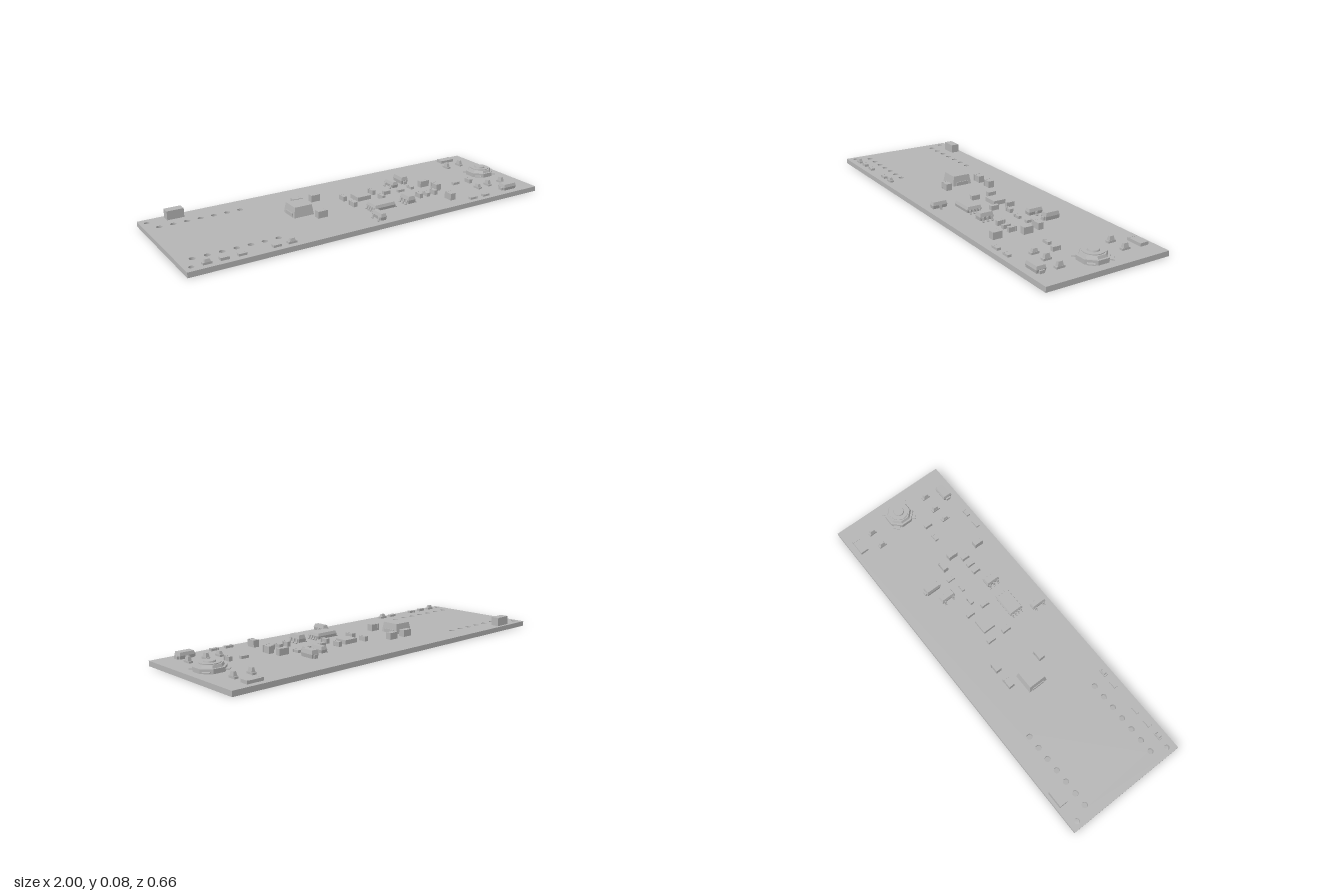
import * as THREE from 'three';

const TOP = 0.026; // upper surface of the board

export function createModel() {
  const grey = new THREE.MeshStandardMaterial({ color: 0xb4b4b4 });
  grey.name = 'plain grey';
  const model = new THREE.Group();
  model.name = 'circuitBoard';

  const add = (parent, name, geo, x = 0, y = 0, z = 0) => {
    const m = new THREE.Mesh(geo, grey);
    m.name = name;
    m.position.set(x, y, z);
    parent.add(m);
    return m;
  };
  const group = (name, x, z, turn = 0) => {
    const g = new THREE.Group();
    g.name = name;
    g.position.set(x, TOP, z);
    g.rotation.y = turn;
    model.add(g);
    return g;
  };
  const box = (parent, name, w, h, d, x = 0, y = 0, z = 0) =>
    add(parent, name, new THREE.BoxGeometry(w, h, d), x, y + h / 2, z);

  // Box whose top (and optionally bottom) is drawn in by an inset
  const tapered = (w, h, d, topInset, bottomInset = 0) => {
    const geo = new THREE.BoxGeometry(w, h, d, 1, 2, 1);
    const p = geo.attributes.position;
    for (let i = 0; i < p.count; i++) {
      const y = p.getY(i);
      const inset = y > 0.0001 ? topInset : y < -0.0001 ? bottomInset : bottomInset ? 0 : topInset / 2;
      p.setX(i, p.getX(i) - Math.sign(p.getX(i)) * inset);
      p.setZ(i, p.getZ(i) - Math.sign(p.getZ(i)) * inset);
    }
    const flat = geo.toNonIndexed();
    flat.computeVertexNormals();
    return flat;
  };

  // Bent lead: shoulder at the body, slope, foot on the board; points toward +x
  const lead = (parent, x, z, dir, h, reach, width) => {
    const t = 0.005;
    const s = new THREE.Shape([
      [0, h], [reach * 0.4, h], [reach * 0.65, t], [reach, t],
      [reach, 0], [reach * 0.5, 0], [reach * 0.25, h - t], [0, h - t],
    ].map(([a, b]) => new THREE.Vector2(a, b)));
    const geo = new THREE.ExtrudeGeometry(s, { depth: width, bevelEnabled: false });
    geo.translate(0, 0, -width / 2);
    add(parent, 'lead', geo, x, 0, z).rotation.y = dir > 0 ? 0 : Math.PI;
  };

  // Board with two pin rows and two corner holes
  const outline = new THREE.Shape([[-1, -0.33], [1, -0.33], [1, 0.33], [-1, 0.33]]
    .map(([x, y]) => new THREE.Vector2(x, y)));
  const drill = (x, z, r) => {
    const hole = new THREE.Path();
    hole.absarc(x, -z, r, 0, Math.PI * 2, true);
    outline.holes.push(hole);
  };
  for (let i = 0; i < 7; i++) for (const z of [-0.21, 0.21]) drill(-0.93 + i * 0.07, z, 0.015);
  for (const z of [-0.287, 0.287]) drill(-0.965, z, 0.013);
  const board = new THREE.ExtrudeGeometry(outline, { depth: TOP, bevelEnabled: false, curveSegments: 10 });
  board.rotateX(-Math.PI / 2);
  add(model, 'board', board);

  // Chip resistors and capacitors: x, z, width, depth, height
  const chips = [
    [-0.815, 0.29, 0.042, 0.022, 0.014], [-0.73, 0.29, 0.042, 0.022, 0.012],
    [-0.56, 0.29, 0.042, 0.022, 0.012],
    [-0.232, -0.123, 0.055, 0.033, 0.036], [-0.13, -0.123, 0.05, 0.033, 0.036],
    [-0.21, 0.09, 0.055, 0.033, 0.036],
    [0.003, -0.052, 0.022, 0.045, 0.025], [0.003, 0.045, 0.024, 0.048, 0.025],
    [0.18, -0.05, 0.02, 0.045, 0.025], [0.18, 0.043, 0.02, 0.045, 0.025],
    [0.243, -0.005, 0.04, 0.02, 0.02], [0.33, 0.005, 0.04, 0.018, 0.014],
    [0.405, -0.01, 0.02, 0.042, 0.014], [0.485, 0, 0.055, 0.028, 0.034],
    [0.51, 0.077, 0.03, 0.052, 0.036], [0.485, 0.23, 0.032, 0.05, 0.036],
    [0.362, 0.125, 0.02, 0.042, 0.025], [0.41, 0.125, 0.02, 0.042, 0.02],
    [0.458, 0.125, 0.02, 0.042, 0.025],
    [0.655, 0.07, 0.042, 0.02, 0.014], [0.735, 0.083, 0.02, 0.042, 0.022],
    [0.587, 0.294, 0.044, 0.02, 0.012], [0.672, 0.294, 0.042, 0.02, 0.012],
  ];
  for (const [x, z, w, d, h] of chips) {
    const long = Math.max(w, d), short = Math.min(w, d);
    const g = group('chipComponent', x, z, d > w ? Math.PI / 2 : 0);
    box(g, 'chipBody', long * 0.6, h - 0.001, short - 0.002);
    for (const s of [-1, 1]) box(g, 'endCap', long * 0.2, h, short, s * long * 0.4);
  }

  // Small lamps: flat base with a tapered lens
  const lamps = [
    [-0.895, 0.29, 0, 0.024], [-0.483, 0.29, 0, 0.024], [0.715, 0.183, 1, 0.026],
    [0.793, 0.175, 1, 0.031], [0.886, 0.177, 1, 0.031],
    [0.793, -0.178, 1, 0.031], [0.886, -0.178, 1, 0.031],
  ];
  for (const [x, z, upright, h] of lamps) {
    const g = group('lamp', x, z, upright ? Math.PI / 2 : 0);
    box(g, 'lampBase', 0.044, 0.01, 0.021);
    add(g, 'lampLens', tapered(0.03, h - 0.01, 0.02, 0.004), 0, 0.005 + h / 2, 0);
  }

  // Leaded packages: left and right give the lead positions along z
  const pack = (name, x, z, w, d, h, left, right, reach, width) => {
    const g = group(name, x, z);
    add(g, 'packageBody', tapered(w, h - 0.004, d, 0.005, 0.003), 0, h / 2 + 0.002, 0);
    for (const p of left) lead(g, -w / 2 + 0.002, p, -1, h * 0.55, reach, width);
    for (const p of right) lead(g, w / 2 - 0.002, p, 1, h * 0.55, reach, width);
  };
  const four = [-0.027, -0.009, 0.009, 0.027], three = [-0.025, 0, 0.025], two = [-0.025, 0.025];
  pack('controllerChip', 0.105, 0.147, 0.124, 0.08, 0.034, four, four, 0.016, 0.008);
  pack('regulatorChip', 0.267, 0.153, 0.044, 0.075, 0.042, three, three, 0.016, 0.011);
  pack('transistor', 0.015, 0.263, 0.034, 0.08, 0.038, two, [0], 0.013, 0.012);
  pack('transistor', 0.333, -0.088, 0.036, 0.08, 0.036, two, [0], 0.014, 0.012);

  // Two-terminal diodes with flat end tabs
  const diode = (x, z, w, d, h, turn) => {
    const g = group('diode', x, z, turn);
    add(g, 'diodeBody', tapered(w, h, d, 0.004, 0.003), 0, h / 2, 0);
    for (const s of [-1, 1]) box(g, 'endTab', 0.01, h * 0.45, d * 0.5, s * (w / 2 + 0.003));
  };
  diode(0.42, -0.122, 0.08, 0.042, 0.039, Math.PI / 2);
  diode(0.847, 0.27, 0.082, 0.05, 0.032, 0);

  // Flat sensor chip, side socket and low corner block
  box(group('sensorChip', 0.093, -0.022), 'sensorBody', 0.08, 0.022, 0.07);
  box(group('sideSocket', -0.825, -0.291), 'socketBody', 0.087, 0.046, 0.045);
  const block = group('cornerBlock', 0.86, -0.276);
  box(block, 'blockBody', 0.066, 0.015, 0.044);
  for (const s of [-1, 1]) box(block, 'blockEnd', 0.011, 0.016, 0.045, s * 0.038);

  // Tall tapered coil with side terminals
  const coil = group('coil', -0.28, -0.014);
  add(coil, 'coilBody', tapered(0.11, 0.052, 0.11, 0.008), 0, 0.026, 0);
  for (const s of [-1, 1]) box(coil, 'coilTerminal', 0.004, 0.02, 0.07, s * 0.055);

  // Round push button: octagonal base, stepped rings, diagonal leads
  const button = group('pushButton', 0.886, 0);
  const ring = (name, r1, r2, y0, y1, n) => {
    const geo = new THREE.CylinderGeometry(r1, r2, y1 - y0, n);
    if (n === 8) geo.rotateY(Math.PI / 8);
    add(button, name, n === 8 ? flatten(geo) : geo, 0, (y0 + y1) / 2, 0);
  };
  const flatten = (geo) => {
    const g = geo.toNonIndexed();
    g.computeVertexNormals();
    return g;
  };
  ring('buttonBase', 0.077, 0.077, 0, 0.022, 8);
  ring('buttonCover', 0.06, 0.066, 0.022, 0.035, 8);
  ring('buttonCollar', 0.05, 0.05, 0.035, 0.039, 32);
  ring('buttonCap', 0.026, 0.028, 0.039, 0.046, 32);
  for (let i = 0; i < 4; i++) {
    const arm = new THREE.Group();
    arm.name = 'buttonLead';
    arm.rotation.y = Math.PI / 4 + i * Math.PI / 2;
    button.add(arm);
    box(arm, 'leadPlate', 0.02, 0.005, 0.035, 0.08, 0.006);
  }

  return model;
}
